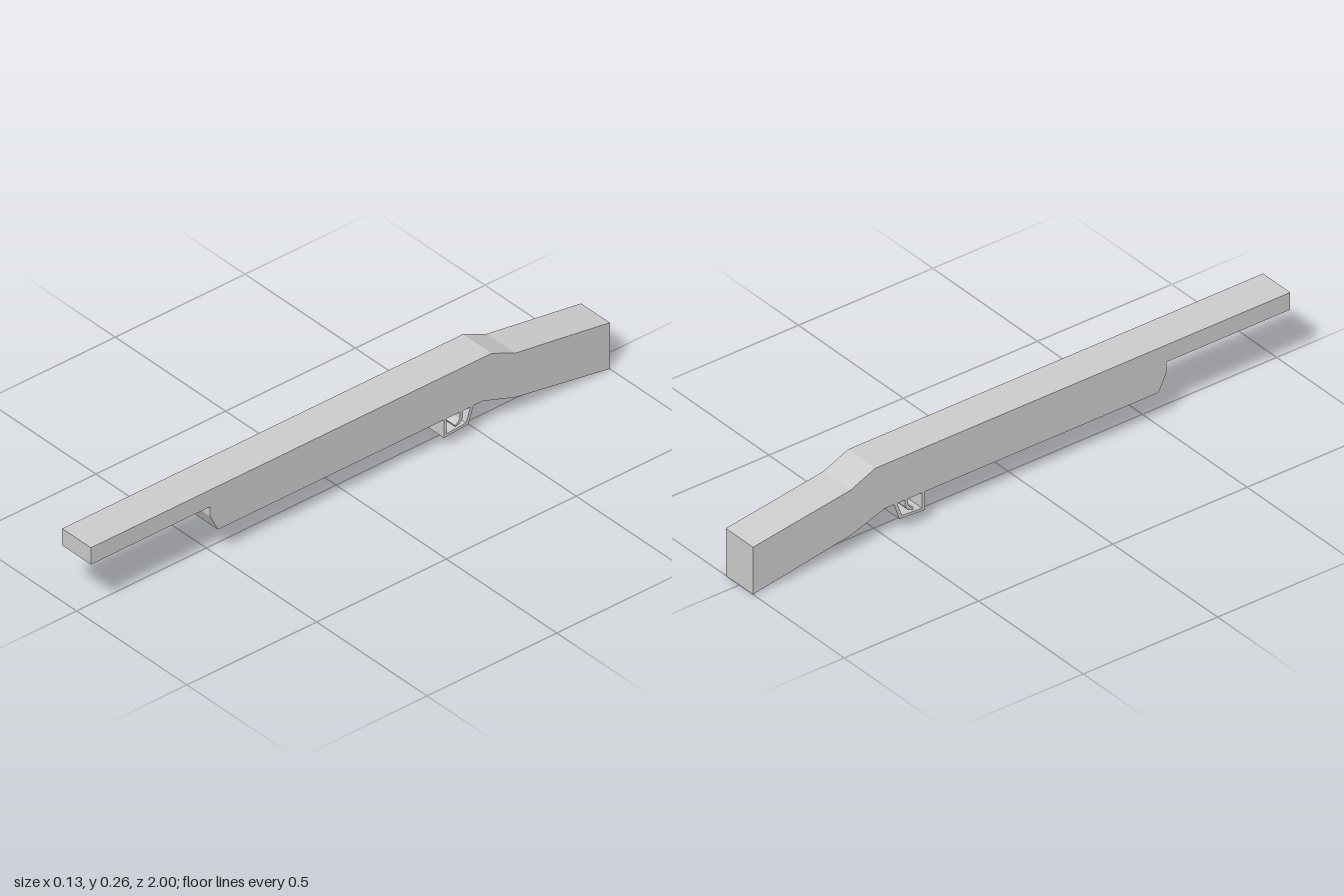
import * as THREE from 'three';

const WIDTH = 0.13;

const material = new THREE.MeshStandardMaterial({ color: 0xcccccc, flatShading: true });

// Extrudes a side profile of [z, y] points across the full width of the model.
function slab(name, points) {
  const shape = new THREE.Shape(points.map(([z, y]) => new THREE.Vector2(z, y)));
  const geometry = new THREE.ExtrudeGeometry(shape, { depth: WIDTH, bevelEnabled: false });
  geometry.translate(0, 0, -WIDTH / 2);
  geometry.rotateY(-Math.PI / 2);
  const mesh = new THREE.Mesh(geometry, material);
  mesh.name = name;
  return mesh;
}

export function createModel() {
  const group = new THREE.Group();
  group.name = 'longGun';

  // Barrel, fore-end and angled butt as one silhouette
  group.add(slab('barrelAndStock', [
    [1, 0.2], [1, 0.26], [-0.545, 0.26], [-0.636, 0.22], [-1, 0.165],
    [-1, 0], [-0.636, 0.062], [-0.51, 0.105], [0.51, 0.105],
    [0.54, 0.165], [0.54, 0.2],
  ]));

  // Thin strap hanging under the body: outer edge, then inner edge back
  group.add(slab('triggerGuard', [
    [-0.36, 0.106], [-0.36, 0.041], [-0.455, 0.047], [-0.475, 0.106],
    [-0.463, 0.106], [-0.446, 0.056], [-0.37, 0.051], [-0.37, 0.106],
  ]));

  // Forward-curving trigger
  group.add(slab('trigger', [
    [-0.423, 0.106], [-0.422, 0.083], [-0.415, 0.073], [-0.402, 0.067],
    [-0.404, 0.061], [-0.423, 0.066], [-0.433, 0.08], [-0.435, 0.106],
  ]));

  return group;
}
